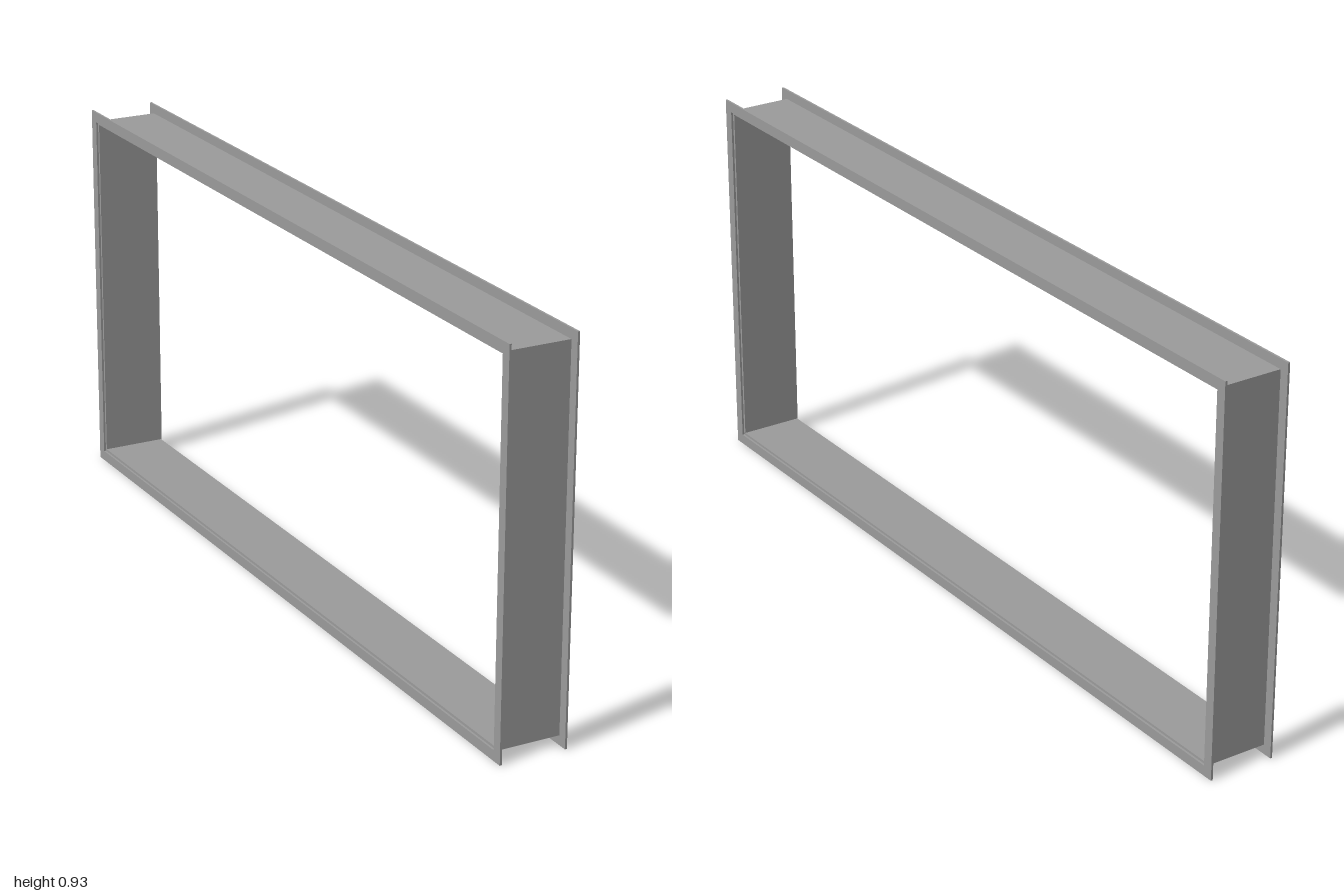
import * as THREE from 'three';

const LENGTH = 2, HEIGHT = 0.934;

// Rectangle inset from the overall outline, centred on the origin
function rect(Type, inset) {
  const w = LENGTH / 2 - inset, h = HEIGHT / 2 - inset;
  return new Type([[-w, -h], [w, -h], [w, h], [-w, h]].map(([x, y]) => new THREE.Vector2(x, y)));
}

// Rectangular ring extruded along x and centred there
function ring(name, outerInset, innerInset, depth, material) {
  const shape = rect(THREE.Shape, outerInset);
  shape.holes.push(rect(THREE.Path, innerInset));
  const geometry = new THREE.ExtrudeGeometry(shape, { depth, bevelEnabled: false });
  geometry.translate(0, HEIGHT / 2, -depth / 2);
  geometry.rotateY(Math.PI / 2);
  const mesh = new THREE.Mesh(geometry, material);
  mesh.name = name;
  return mesh;
}

export function createModel() {
  const group = new THREE.Group();
  group.name = 'rectangularFrame';
  const material = new THREE.MeshStandardMaterial({ color: 0x9b9b9b });
  const halfWidth = 0.083, flangeThickness = 0.005;
  const sleeveInset = 0.023, flangeInset = 0.025, openingInset = 0.031;

  // Thin-walled sleeve around the opening, ending behind the flanges
  const sleeveWidth = 2 * (halfWidth - flangeThickness);
  group.add(ring('sleeve', sleeveInset, openingInset, sleeveWidth, material));

  // Outward flange at each end, leaving a small step down to the sleeve
  for (const side of [1, -1]) {
    const flange = ring(side > 0 ? 'leftFlange' : 'rightFlange', 0, flangeInset, flangeThickness, material);
    flange.position.x = side * (halfWidth - flangeThickness / 2);
    group.add(flange);
  }
  return group;
}
